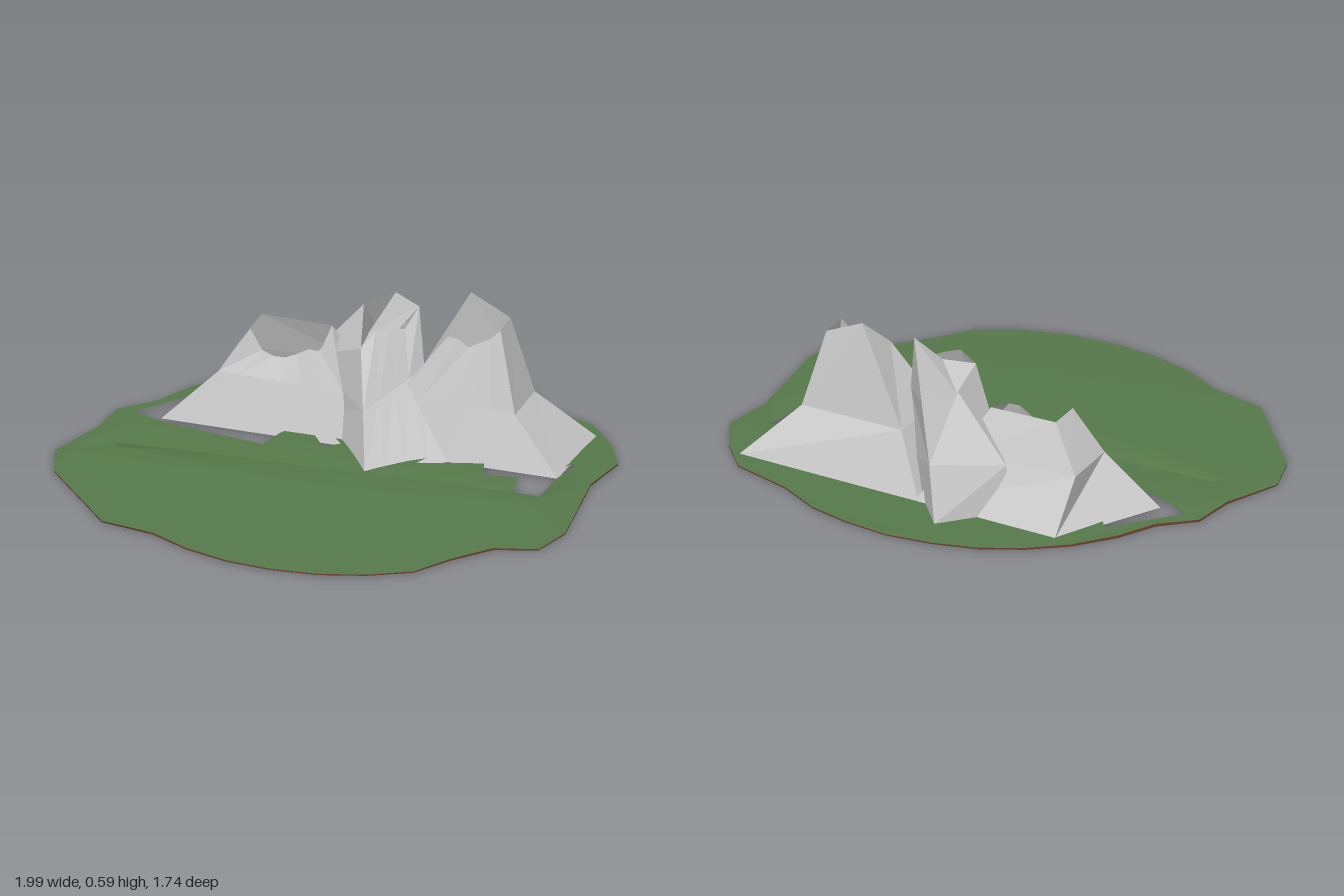
import * as THREE from 'three';
import { mergeGeometries, mergeVertices } from 'three/addons/utils/BufferGeometryUtils.js';

const stone = new THREE.MeshStandardMaterial({ color: 0xcccccc, flatShading: true, side: THREE.DoubleSide });
const grass = new THREE.MeshStandardMaterial({ color: 0x56784a, side: THREE.DoubleSide });
const earth = new THREE.MeshStandardMaterial({ color: 0x70432f, side: THREE.DoubleSide });

const BASE = 0.008;

// Island coast as [x, z]: the back half from left to right, then the front half back again
const backCoast = [
  [-0.91, -0.05], [-0.89, -0.22], [-0.77, -0.33], [-0.69, -0.48], [-0.575, -0.62], [-0.44, -0.725],
  [-0.285, -0.805], [-0.115, -0.85], [0.06, -0.87], [0.24, -0.85], [0.4, -0.81], [0.565, -0.72],
  [0.8, -0.65], [0.91, -0.52], [0.99, -0.37], [0.95, -0.17],
];
const frontCoast = [
  [0.99, 0.24], [0.94, 0.4], [0.78, 0.45], [0.66, 0.585], [0.565, 0.72], [0.41, 0.8], [0.24, 0.85],
  [0.06, 0.865], [-0.115, 0.85], [-0.285, 0.8], [-0.44, 0.72], [-0.65, 0.68], [-0.95, 0.335], [-1, 0.17],
];

// Gaps in the ground beside the rocks
const gaps = [
  [[-0.825, -0.21], [-0.62, -0.45], [-0.59, -0.41], [-0.6, -0.25], [-0.23, -0.22], [-0.25, -0.18], [-0.28, -0.07], [-0.67, -0.145]],
  [[-0.13, -0.21], [-0.065, -0.12], [-0.01, -0.16], [-0.05, -0.21]],
  [[0.3, -0.1], [0.535, -0.185], [0.56, -0.095], [0.69, -0.12], [0.705, 0], [0.81, 0], [0.82, -0.17],
    [0.855, -0.31], [0.83, -0.3], [0.8, -0.22], [0.36, -0.22]],
];

const groundHeight = (x, z) => 0.008 + 0.025 * Math.max(0, 1 - x * x - (z / 0.87) ** 2);

// Surface from rows of points, optionally closed around
function loft(rows, closed) {
  const n = rows[0].length, index = [];
  for (let r = 0; r < rows.length - 1; r++) {
    for (let i = 0; i < (closed ? n : n - 1); i++) {
      const a = r * n + i, b = r * n + (i + 1) % n;
      index.push(a, b, b + n, a, b + n, a + n);
    }
  }
  const g = new THREE.BufferGeometry();
  g.setAttribute('position', new THREE.Float32BufferAttribute(rows.flat(2), 3));
  g.setIndex(index);
  g.computeVertexNormals();
  return g;
}

// Flat or folded polygon as a fan
function fan(points) {
  const g = new THREE.BufferGeometry(), index = [];
  for (let i = 1; i < points.length - 1; i++) index.push(0, i, i + 1);
  g.setAttribute('position', new THREE.Float32BufferAttribute(points.flat(), 3));
  g.setIndex(index);
  g.computeVertexNormals();
  return g;
}

function mesh(name, geometry, material) {
  const m = new THREE.Mesh(geometry, material);
  m.name = name;
  return m;
}

// Gently domed ground: a pierced back half and a lofted front half
function groundGeometry() {
  const spine = frontCoast.map(([x]) => [x * 0.8, 0.06]);
  const flat = (list) => list.map(([x, z]) => new THREE.Vector2(x, -z));
  const last = frontCoast.length - 1;
  const shape = new THREE.Shape(flat([frontCoast[last], ...backCoast, frontCoast[0], ...spine]));
  gaps.forEach((gap) => shape.holes.push(new THREE.Path(flat(gap))));
  const back = new THREE.ShapeGeometry(shape).rotateX(-Math.PI / 2);

  const rows = [];
  for (let s = 0; s <= 6; s++) {
    const t = 1 - s / 6;
    rows.push(frontCoast.map(([x, z], i) => [
      THREE.MathUtils.lerp(spine[i][0], x, t), 0, THREE.MathUtils.lerp(spine[i][1], z, t)]));
  }
  // wind the front half so that it faces up
  const front = loft(rows.map((row) => row.reverse()), false);
  const parts = [back, front].map((g) => {
    g.deleteAttribute('uv');
    g.deleteAttribute('normal');
    return g.toNonIndexed();
  });
  const g = mergeVertices(mergeGeometries(parts), 1e-4);
  const p = g.attributes.position;
  for (let i = 0; i < p.count; i++) p.setY(i, groundHeight(p.getX(i), p.getZ(i)));
  g.computeVertexNormals();
  return g;
}

// Open-topped rock from four-cornered rings; the first side of the top ring has a worn rim
function rock(name, rings, wear) {
  const rows = rings.map((ring, r) => {
    const [a, b, c, d] = ring;
    const side = wear.map((w, k) => {
      const t = (k + 1) / (wear.length + 1);
      const p = a.map((v, j) => THREE.MathUtils.lerp(v, b[j], t));
      if (r === rings.length - 1) p[1] += w;
      return p;
    });
    return [a, ...side, b, c, d];
  });
  return mesh(name, loft(rows, true), stone);
}

export function createModel() {
  const model = new THREE.Group();
  model.name = 'rockyIsland';

  model.add(mesh('ground', groundGeometry(), grass));

  // Thin earth edge around the coast
  const coast = [...backCoast, ...frontCoast].reverse();
  const edgeRow = (scale, y) => coast.map(([x, z]) => [x * scale, y ?? groundHeight(x, z), z * scale]);
  model.add(mesh('earthEdge', loft([edgeRow(0.99, 0), edgeRow(1, 0.003), edgeRow(0.993)], true), earth));

  // Rocks: corners run front left, front right, back right, back left
  const rocks = new THREE.Group();
  rocks.name = 'rocks';
  rocks.add(rock('lowRock', [
    [[-0.715, BASE, -0.2], [0.1, BASE, -0.19], [0.1, BASE, -0.59], [-0.5, BASE, -0.61]],
    [[-0.51, 0.21, -0.25], [-0.03, 0.2, -0.245], [-0.03, 0.2, -0.5], [-0.515, 0.21, -0.48]],
    [[-0.4, 0.38, -0.29], [-0.13, 0.33, -0.285], [-0.13, 0.375, -0.42], [-0.4, 0.38, -0.42]],
  ], [-0.07, -0.08, -0.07, -0.04, -0.005]));
  rocks.add(rock('tallRock', [
    [[0.08, BASE, -0.19], [0.82, BASE, -0.18], [0.84, BASE, -0.565], [0.08, BASE, -0.59]],
    [[0.19, 0.235, -0.24], [0.635, 0.21, -0.24], [0.64, 0.21, -0.455], [0.2, 0.235, -0.5]],
    [[0.36, 0.465, -0.29], [0.56, 0.515, -0.3], [0.56, 0.515, -0.415], [0.405, 0.59, -0.425]],
  ], [-0.015, -0.055, -0.04, -0.03]));

  // Turned middle rock: corners run front, right, back, left
  const top = [[0.055, 0.41, -0.2], [0.23, 0.54, -0.35], [0.05, 0.445, -0.62], [-0.03, 0.445, -0.49]];
  const foot = [[0.14, BASE, 0.015], [0.39, BASE, -0.185], [-0.055, BASE, -0.715], [-0.255, BASE, -0.505]];
  rocks.add(rock('middleRock', [
    foot,
    [[0.1, 0.21, -0.09], [0.26, 0.31, -0.32], [-0.01, 0.22, -0.67], [-0.24, 0.2, -0.505]],
    top,
  ], [0.03, -0.005, -0.05]));
  rocks.add(mesh('middleRockShelf', fan([[0.02, 0.38, -0.4], top[0], [0.15, 0.44, -0.28], top[1], top[2]]), stone));

  // Closed undersides
  rocks.add(mesh('ridgeUnderside', fan([
    [-0.715, BASE, -0.2], [-0.5, BASE, -0.61], [0.84, BASE, -0.565], [0.82, BASE, -0.18]]), stone));
  rocks.add(mesh('middleUnderside', fan([...foot].reverse().map(([x, y, z]) => [x, y - 0.001, z])), stone));
  model.add(rocks);
  return model;
}
